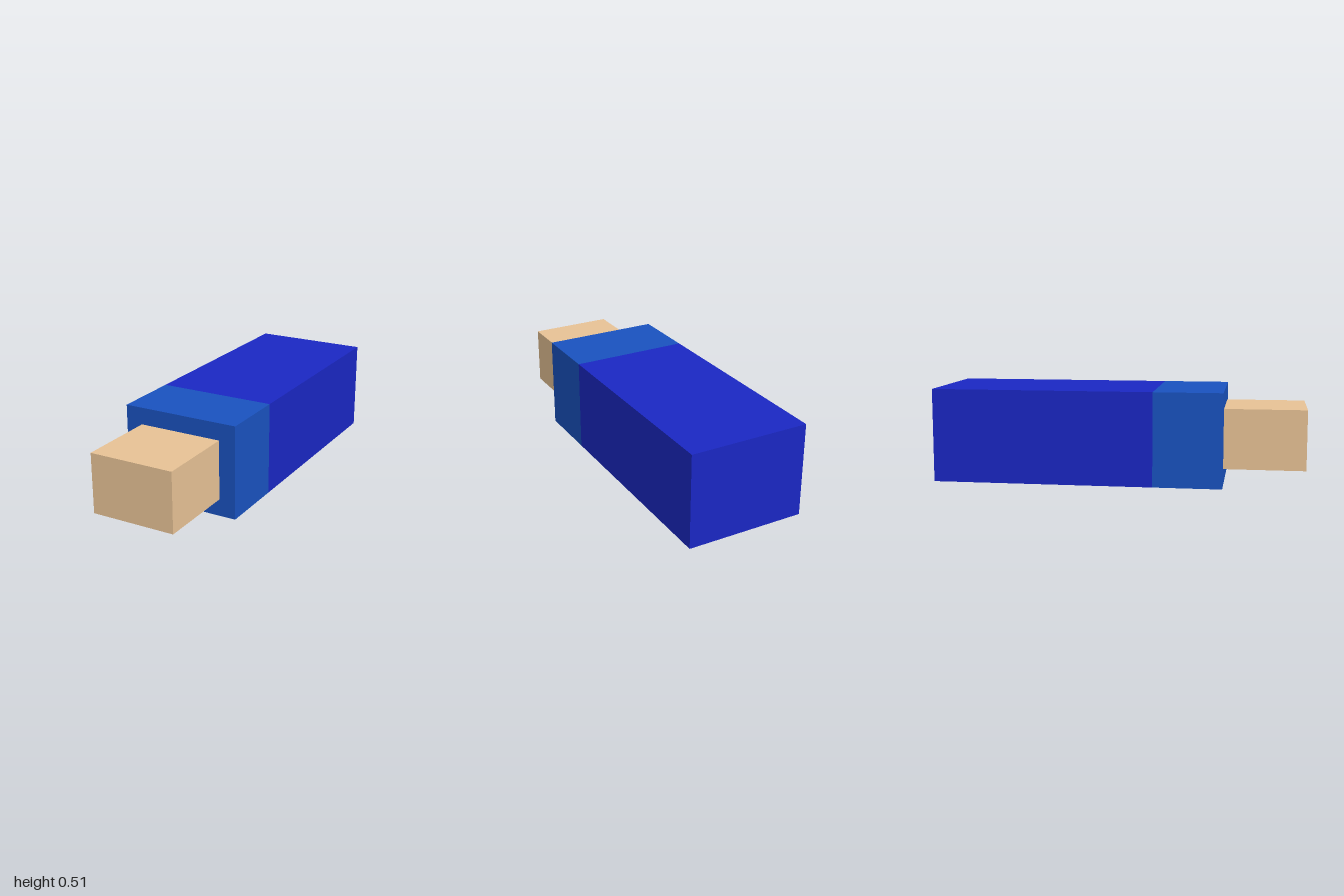
import * as THREE from 'three';

const paint = (name, color) => {
  const m = new THREE.MeshStandardMaterial({ color });
  m.name = name;
  return m;
};

export function createModel() {
  const group = new THREE.Group();
  group.name = 'arm';

  const sleeveBlue = paint('sleeve blue', 0x1a27c3);
  const cuffBlue = paint('cuff blue', 0x1952bf);
  const skinTan = paint('skin tan', 0xe8c396);

  // Every part is a box centred on the arm's axis, spanning z0 to z1
  const axisY = 0.253;
  const segment = (name, material, width, height, z0, z1) => {
    const mesh = new THREE.Mesh(new THREE.BoxGeometry(width, height, z1 - z0), material);
    mesh.name = name;
    mesh.position.set(0, axisY, (z0 + z1) / 2);
    group.add(mesh);
  };

  segment('sleeve', sleeveBlue, 0.643, 0.506, -1, 0.197);
  segment('cuff', cuffBlue, 0.643, 0.506, 0.197, 0.565);
  segment('hand', skinTan, 0.46, 0.322, 0.565, 1);

  return group;
}
